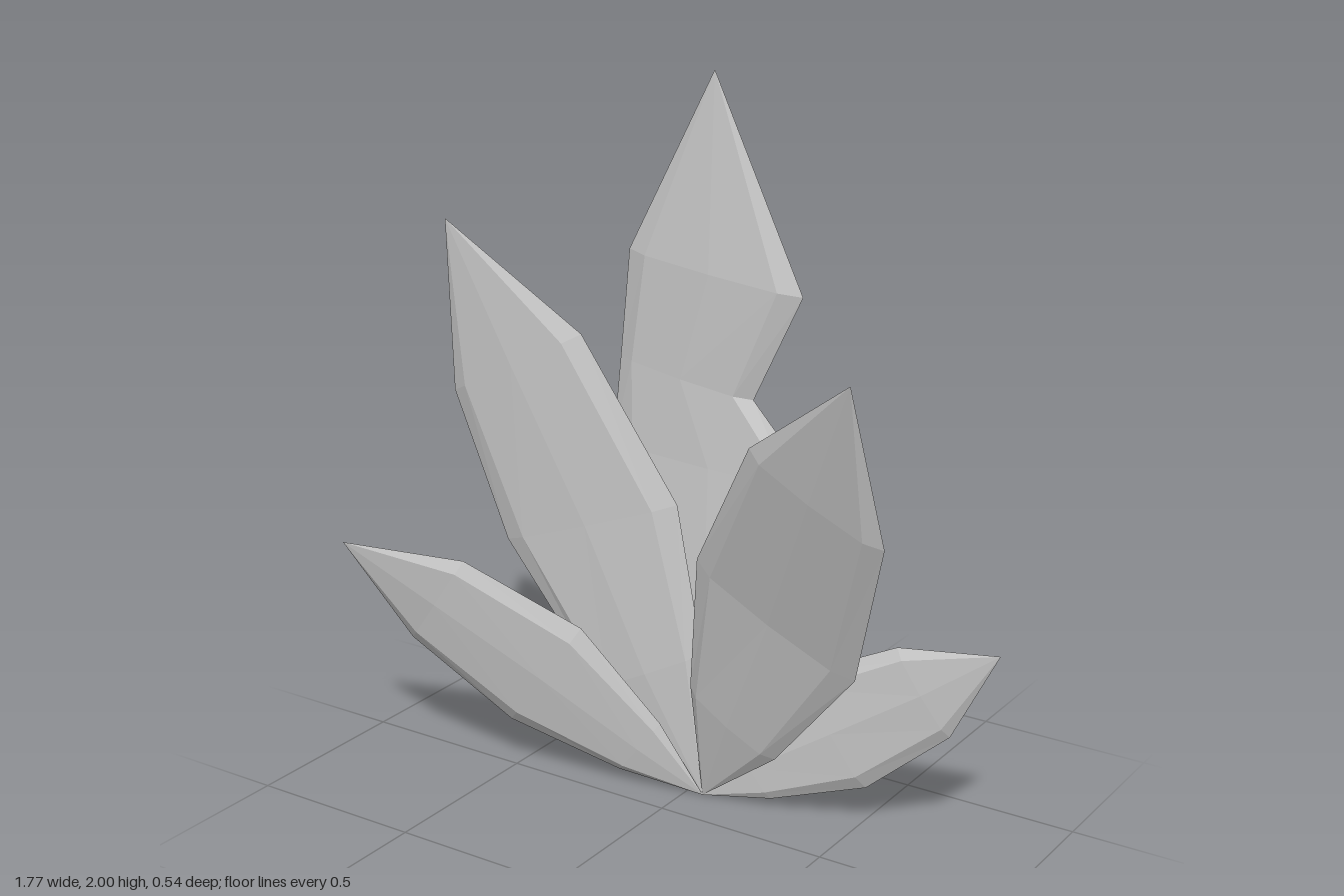
import * as THREE from 'three';

const BASE = [0.05, 0, -0.13];

// Each leaf: tip, then rows from base upward as [left edge point, right edge point]
const LEAVES = {
  centreLeaf: {
    tip: [0, 2, -0.245],
    rows: [
      [[-0.17, 0.45, -0.18], [0.24, 0.45, -0.18]],
      [[-0.31, 0.95, -0.225], [0.35, 0.92, -0.225]],
      [[-0.29, 1.2, -0.235], [0.135, 1.14, -0.235]],
      [[-0.26, 1.5, -0.235], [0.28, 1.44, -0.235]],
    ],
  },
  upperRightLeaf: {
    tip: [-0.735, 1.56, -0.04],
    rows: [
      [[-0.29, 0.25, -0.12], [0.04, 0.42, -0.14]],
      [[-0.59, 0.64, -0.1], [-0.04, 0.84, -0.135]],
      [[-0.75, 1.06, -0.08], [-0.33, 1.28, -0.105]],
    ],
  },
  lowerRightLeaf: {
    tip: [-0.89, 0.68, 0.26],
    rows: [
      [[-0.19, 0.04, -0.07], [-0.06, 0.21, -0.08]],
      [[-0.5, 0.15, 0.02], [-0.26, 0.48, 0.01]],
      [[-0.76, 0.38, 0.13], [-0.57, 0.65, 0.13]],
    ],
  },
  upperLeftLeaf: {
    tip: [0.7, 1.4, 0.27],
    rows: [
      [[0.04, 0.35, -0.08], [0.31, 0.2, -0.08]],
      [[0.11, 0.76, 0], [0.59, 0.53, 0]],
      [[0.35, 1.15, 0.14], [0.735, 0.96, 0.14]],
    ],
  },
  lowerLeftLeaf: {
    tip: [0.885, 0.585, -0.23],
    rows: [
      [[0.13, 0.2, -0.155], [0.25, 0.03, -0.165]],
      [[0.33, 0.42, -0.19], [0.52, 0.12, -0.21]],
      [[0.6, 0.55, -0.21], [0.75, 0.32, -0.235]],
    ],
  },
};

// Cross-section from the left edge round the front to the right edge and back: [across, depth]
const SECTION = [[0, 0], [0.12, 0.75], [0.5, 1], [0.88, 0.75], [1, 0], [0.88, -0.75], [0.5, -1], [0.12, -0.75]];

function leafGeometry({ tip, rows }) {
  const v = (p) => new THREE.Vector3(...p);
  const pairs = [[BASE, BASE], ...rows, [tip, tip]].map(([l, r]) => [v(l), v(r)]);
  const centres = pairs.map(([l, r]) => l.clone().lerp(r, 0.5));
  const rings = pairs.map(([l, r], i) => {
    const across = r.clone().sub(l);
    if (across.length() < 1e-6) return SECTION.map(() => l.clone());
    const growth = centres[i + 1].clone().sub(centres[i - 1]);
    const normal = across.clone().cross(growth).normalize();
    const half = Math.min(0.032, across.length() * 0.09);
    return SECTION.map(([t, d]) => l.clone().lerp(r, t).addScaledVector(normal, d * half));
  });

  // Join neighbouring rings, dropping the collapsed triangles at base and tip
  const positions = [];
  const triangle = (a, b, c) => {
    if (a.equals(b) || b.equals(c) || a.equals(c)) return;
    for (const p of [a, b, c]) positions.push(p.x, p.y, p.z);
  };
  for (let i = 0; i < rings.length - 1; i++) {
    for (let j = 0; j < SECTION.length; j++) {
      const k = (j + 1) % SECTION.length;
      triangle(rings[i][j], rings[i][k], rings[i + 1][k]);
      triangle(rings[i][j], rings[i + 1][k], rings[i + 1][j]);
    }
  }
  const geometry = new THREE.BufferGeometry();
  geometry.setAttribute('position', new THREE.Float32BufferAttribute(positions, 3));
  geometry.computeVertexNormals();
  return geometry;
}

export function createModel() {
  const group = new THREE.Group();
  group.name = 'leafCluster';
  const leafGrey = new THREE.MeshStandardMaterial({ color: 0xc8c8c8, flatShading: true });
  leafGrey.name = 'leaf grey';
  for (const [name, leaf] of Object.entries(LEAVES)) {
    const mesh = new THREE.Mesh(leafGeometry(leaf), leafGrey);
    mesh.name = name;
    group.add(mesh);
  }
  return group;
}
